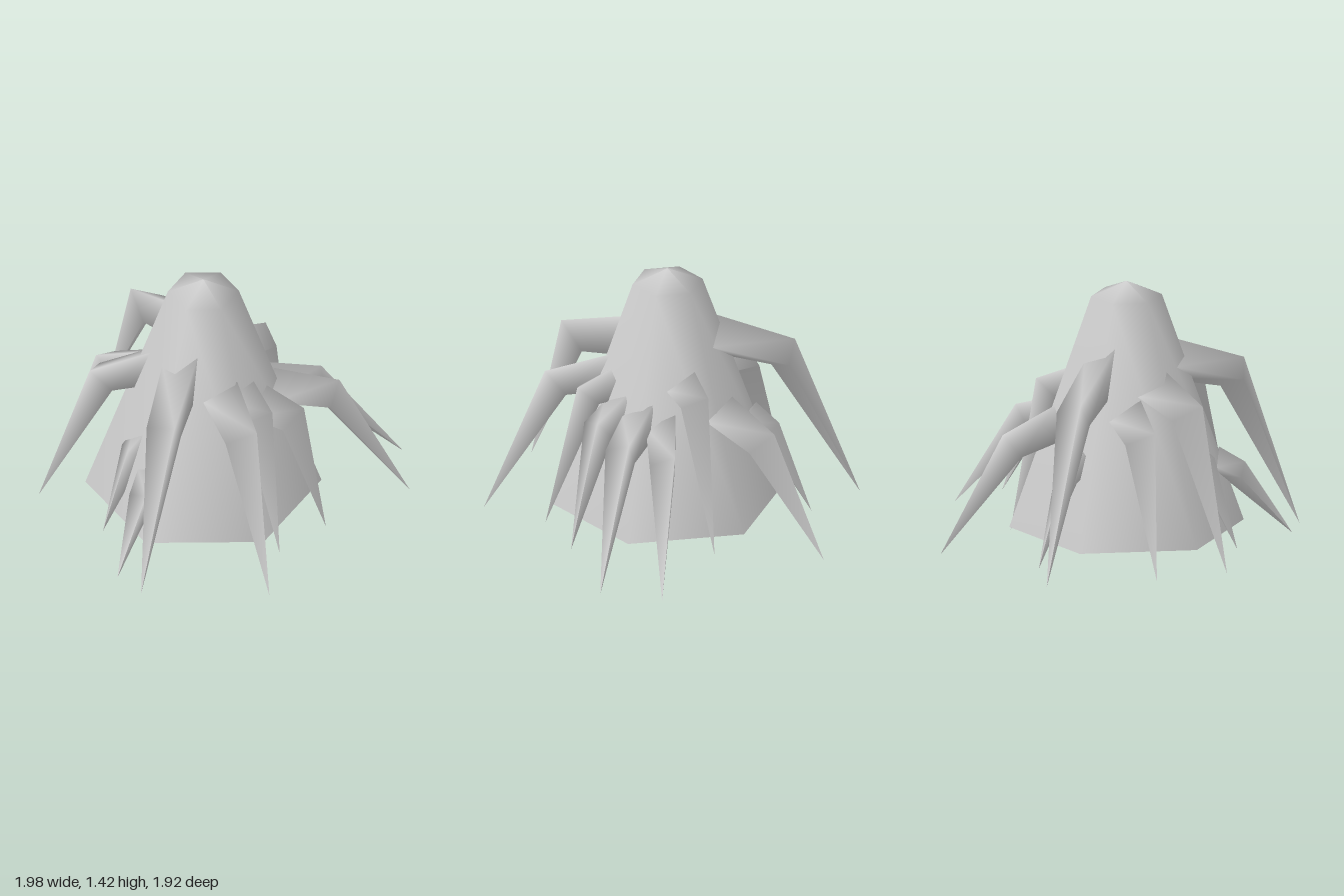
import * as THREE from 'three';

const wood = new THREE.MeshStandardMaterial({ color: 0xcccccc, side: THREE.DoubleSide });
wood.name = 'pale grey';

// Each root: start point, elbow point, ground tip, thickness scale
const ROOTS = [
  [[-0.19, 1.02, -0.15], [-0.41, 0.86, -0.52], [-0.62, 0.01, -0.87], 1.1],
  [[-0.24, 0.56, -0.36], [-0.26, 0.47, -0.48], [-0.32, 0.01, -0.70], 0.75],
  [[0.04, 0.69, -0.31], [0.12, 0.58, -0.57], [0.21, 0.01, -0.96], 1],
  [[0.11, 0.86, -0.13], [0.22, 0.82, -0.24], [0.35, 0.01, -0.39], 0.9],
  [[0.23, 0.66, -0.07], [0.50, 0.58, -0.17], [0.96, 0.01, -0.31], 0.9],
  [[0.25, 0.70, 0.05], [0.57, 0.65, 0.05], [0.99, 0.01, 0.03], 1],
  [[0.18, 0.71, 0.20], [0.35, 0.66, 0.27], [0.54, 0.01, 0.355], 1],
  [[0.09, 0.83, 0.27], [0.18, 0.77, 0.40], [0.29, 0.01, 0.59], 0.95],
  [[0.0, 0.85, 0.31], [0.10, 0.78, 0.60], [0.23, 0.01, 0.96], 1.05],
  [[-0.20, 0.98, 0.23], [-0.31, 0.86, 0.62], [-0.455, 0.01, 0.935], 1.15],
  [[-0.38, 0.42, 0.42], [-0.44, 0.35, 0.54], [-0.58, 0.01, 0.795], 0.8],
  [[-0.43, 0.50, 0.21], [-0.50, 0.45, 0.26], [-0.65, 0.01, 0.375], 0.8],
  [[-0.37, 0.88, 0.03], [-0.66, 0.80, 0.04], [-0.99, 0.01, 0.055], 1.05],
  [[-0.36, 0.76, -0.13], [-0.61, 0.69, -0.22], [-0.88, 0.01, -0.33], 1],
];

// Three-sided tapering limb with a mitred elbow and a sharp tip
function rootGeometry(start, elbow, tip, scale) {
  const path = [start, elbow, tip].map((p) => new THREE.Vector3(...p));
  const d1 = path[1].clone().sub(path[0]).normalize();
  const d2 = path[2].clone().sub(path[1]).normalize();
  const dirs = [d1, d1.clone().add(d2).normalize(), d2];
  const radii = [0.118 * scale, 0.1 * scale, 0];
  const side = new THREE.Vector3(-d1.z, 0, d1.x).normalize();
  const pos = [], index = [];
  path.forEach((p, k) => {
    const up = side.clone().cross(dirs[k]).normalize();
    for (let i = 0; i < 3; i++) {
      const a = Math.PI / 2 + (i * Math.PI * 2) / 3;
      const v = p.clone()
        .addScaledVector(up, Math.cos(a) * radii[k])
        .addScaledVector(side, Math.sin(a) * radii[k]);
      pos.push(v.x, v.y, v.z);
    }
  });
  for (let k = 0; k < 2; k++) {
    for (let i = 0; i < 3; i++) {
      const a = k * 3 + i, b = k * 3 + ((i + 1) % 3);
      index.push(a, b, a + 3);
      if (k === 0) index.push(b, b + 3, a + 3);
    }
  }
  // Points of the tip share one corner per side
  const g = new THREE.BufferGeometry();
  g.setAttribute('position', new THREE.Float32BufferAttribute(pos, 3));
  g.setIndex(index);
  g.computeVertexNormals();
  return g;
}

export function createModel() {
  const model = new THREE.Group();
  model.name = 'rootedStump';

  // Hollow six-sided trunk with a shallow pointed top, open underneath
  const profile = [[0.63, 0.085], [0.19, 1.355], [0, 1.435]].map((p) => new THREE.Vector2(...p));
  const trunkGeometry = new THREE.LatheGeometry(profile, 6, Math.PI / 2);
  const trunk = new THREE.Mesh(trunkGeometry, wood);
  trunk.name = 'trunk';
  trunk.position.set(-0.11, 0, 0.04);
  model.add(trunk);

  // Bent roots around the trunk
  const roots = new THREE.Group();
  roots.name = 'roots';
  ROOTS.forEach((r, i) => {
    const root = new THREE.Mesh(rootGeometry(...r), wood);
    root.name = `root${i + 1}`;
    roots.add(root);
  });
  model.add(roots);
  return model;
}
